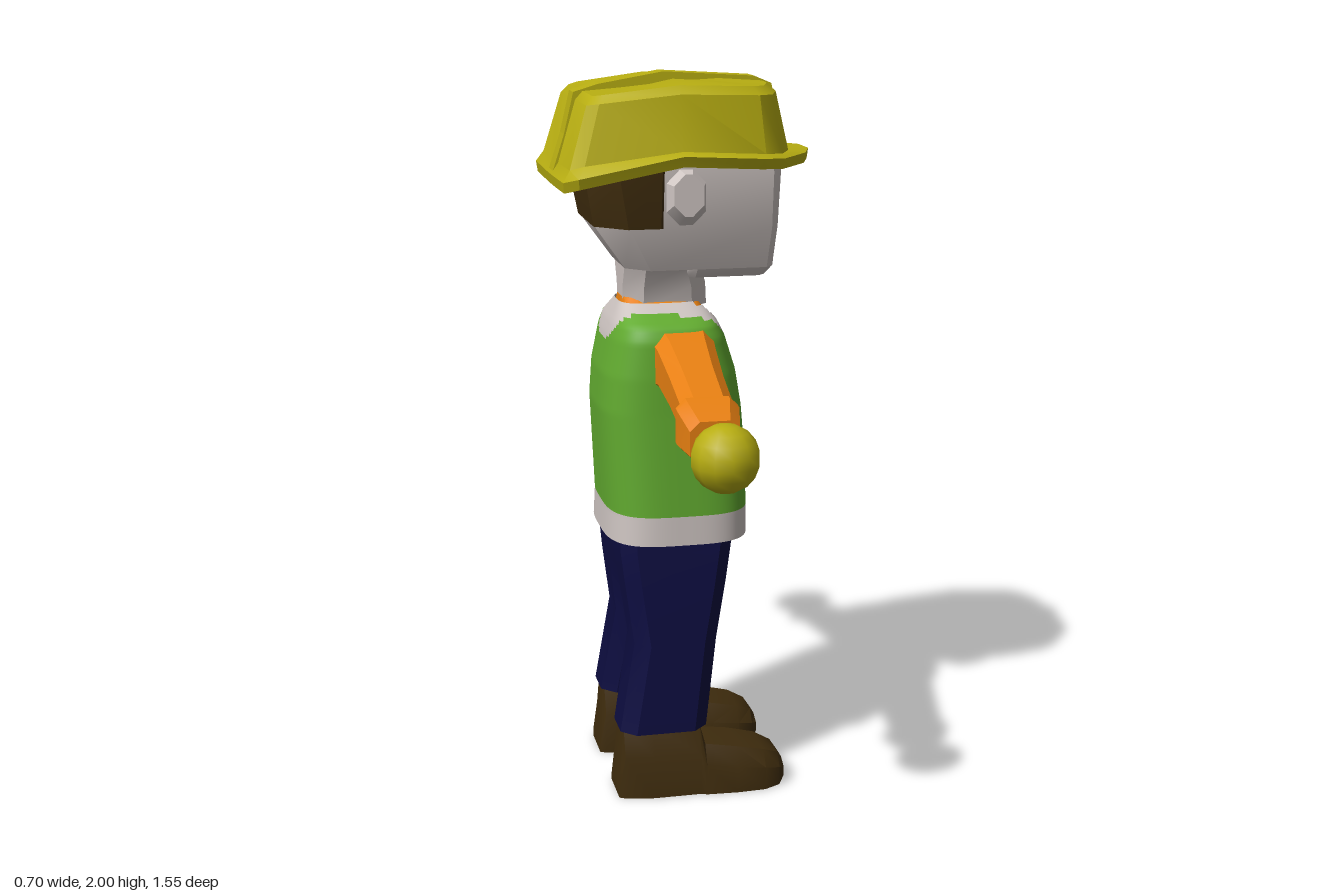
import * as THREE from 'three';
import { toCreasedNormals } from 'three/addons/utils/BufferGeometryUtils.js';

const paint = (name, color, side = THREE.FrontSide) => {
  const m = new THREE.MeshStandardMaterial({ color, side });
  m.name = name;
  return m;
};

// Rectangle with cut corners: c0 at the low-a end, c1 at the high-a end
const rect = (a0, a1, b0, b1, c0, c1 = c0) => [
  [a0 + c0, b0], [a1 - c1, b0], [a1, b0 + c1], [a1, b1 - c1],
  [a1 - c1, b1], [a0 + c0, b1], [a0, b1 - c0], [a0, b0 + c0]];

// Closed skin over a list of equal-length rings, capped at both ends, wound outward
function loft(rings, crease = 0.6) {
  const n = rings[0].length, pts = rings.flat(), tris = [];
  for (let r = 0; r < rings.length - 1; r++) for (let i = 0; i < n; i++) {
    const a = r * n + i, b = r * n + (i + 1) % n;
    tris.push([a, b, a + n], [b, b + n, a + n]);
  }
  [0, rings.length - 1].forEach((r) => {
    const mid = [0, 1, 2].map(k => rings[r].reduce((s, p) => s + p[k], 0) / n);
    const c = pts.push(mid) - 1;
    for (let i = 0; i < n; i++) {
      const a = r * n + i, b = r * n + (i + 1) % n;
      tris.push(r ? [a, b, c] : [b, a, c]);
    }
  });
  const v = pts.map(p => new THREE.Vector3(...p)), x = new THREE.Vector3();
  const volume = tris.reduce((s, [a, b, c]) => s + v[a].dot(x.crossVectors(v[b], v[c])), 0);
  if (volume < 0) tris.forEach(t => t.reverse());
  const g = new THREE.BufferGeometry();
  g.setAttribute('position', new THREE.Float32BufferAttribute(pts.flat(), 3));
  g.setIndex(tris.flat());
  return toCreasedNormals(g, crease);
}

// Horizontal sections [y, x0, x1, z0, z1, backCut, frontCut]
const stack = (rows, s = 1) => loft(rows.map(([y, x0, x1, z0, z1, c0, c1]) =>
  rect(x0, x1, z0, z1, c0, c1).map(([x, z]) => [x, y, z * s])));
// Sideways sections [z, x0, x1, y0, y1, cut]
const reach = (rows, s) => loft(rows.map(([z, x0, x1, y0, y1, c]) =>
  rect(x0, x1, y0, y1, c).map(([x, y]) => [x, y, z * s])));

// Torso profile rows: y, back x, front x, half width
const TORSO = [[0.74, -0.23, 0.172, 0.24], [0.82, -0.226, 0.172, 0.237], [1.0, -0.235, 0.165, 0.228],
  [1.1, -0.24, 0.157, 0.223], [1.2, -0.233, 0.14, 0.22], [1.3, -0.212, 0.108, 0.213],
  [1.335, -0.2, 0.09, 0.198], [1.365, -0.185, 0.07, 0.14], [1.39, -0.172, 0.05, 0.088]];
function torsoPoint(y, angle, inset) {
  let i = 0;
  while (i < TORSO.length - 2 && y > TORSO[i + 1][0]) i++;
  const t = (y - TORSO[i][0]) / (TORSO[i + 1][0] - TORSO[i][0]);
  const [x0, x1, hz] = [1, 2, 3].map(k => TORSO[i][k] + (TORSO[i + 1][k] - TORSO[i][k]) * t);
  const c = Math.cos(angle), s = Math.sin(angle);
  const k = (Math.abs(c) ** 3.4 + Math.abs(s) ** 3.4) ** (-1 / 3.4);
  return [(x0 + x1) / 2 + ((x1 - x0) / 2 - inset) * c * k, y, (hz - inset) * s * k];
}

// Open-fronted vest; group 0 is the cloth, group 1 the pale trim
function vestGeometry() {
  const cols = 120, rows = 64, y0 = 0.74, y1 = 1.386, pos = [], sets = [[], []];
  for (let r = 0; r <= rows; r++) for (let c = 0; c < cols; c++)
    pos.push(...torsoPoint(y0 + (y1 - y0) * r / rows, c / cols * Math.PI * 2, 0));
  for (let r = 0; r < rows; r++) for (let c = 0; c < cols; c++) {
    const y = y0 + (y1 - y0) * (r + 0.5) / rows;
    const [x, , zs] = torsoPoint(y, (c + 0.5) / cols * Math.PI * 2, 0), z = Math.abs(zs);
    const front = x > -0.03;
    const gap = 0.035 + 0.06 * THREE.MathUtils.clamp((y - 1.27) / 0.09, 0, 1);
    if (front && z < gap) continue;
    const neck = front ? z < gap + 0.065 : Math.hypot(z / 0.13, (y - 1.39) / 0.11) < 1;
    const a = r * cols + c, b = r * cols + (c + 1) % cols;
    sets[y < 0.82 || neck || y > 1.37 ? 1 : 0].push(a, a + cols, b, b, a + cols, b + cols);
  }
  const g = new THREE.BufferGeometry();
  g.setAttribute('position', new THREE.Float32BufferAttribute(pos, 3));
  g.setIndex(sets.flat());
  g.addGroup(0, sets[0].length, 0);
  g.addGroup(sets[0].length, sets[1].length, 1);
  g.computeVertexNormals();
  return g;
}

// Full hat ring from half an outline of [x, y, z], back to front
const mirrorRing = half => [...half, ...half.slice().reverse().map(([x, y, z]) => [x, y, -z])];

export function createModel() {
  const yellow = paint('hat yellow', 0xb8ae12), orange = paint('shirt orange', 0xe88012);
  const green = paint('vest green', 0x62ab30, THREE.DoubleSide);
  const pale = paint('pale skin and trim', 0xcdc4c1, THREE.DoubleSide);
  const navy = paint('trouser navy', 0x0d0d40), brown = paint('boot brown', 0x402d0e);
  const black = paint('face black', 0x060606);
  const model = new THREE.Group();
  model.name = 'worker';
  const add = (name, geo, mat, parent = model) => {
    const m = new THREE.Mesh(geo, mat);
    m.name = name;
    parent.add(m);
    return m;
  };

  // Torso
  add('vest', vestGeometry(), [green, pale]);
  const shirtRows = [0.835, 1.0, 1.1, 1.2, 1.3, 1.335, 1.365, 1.398];
  add('shirt', loft(shirtRows.map(y => Array.from({ length: 32 }, (_, i) =>
    torsoPoint(y, i / 16 * Math.PI, y > 1.39 ? 0 : 0.014)))), orange);
  add('hips', stack([[0.7, -0.19, 0.1, -0.18, 0.18, 0.05], [0.76, -0.2, 0.13, -0.205, 0.205, 0.05],
    [0.845, -0.2, 0.152, -0.205, 0.205, 0.05]]), navy);

  // Limbs, once for each side
  for (const s of [1, -1]) {
    const side = s > 0 ? 'near' : 'far';
    add(side + 'Leg', stack([[0.195, -0.21, 0.035, 0.07, 0.248, 0.04], [0.45, -0.167, 0.065, 0.05, 0.238, 0.04],
      [0.62, -0.19, 0.095, 0.03, 0.227, 0.04], [0.71, -0.2, 0.11, 0.0, 0.217, 0.04],
      [0.78, -0.2, 0.118, 0.0, 0.21, 0.04]], s), navy);
    // Boot sections along its length: x, top y, bottom y, inner z, outer z
    add(side + 'Boot', loft([[-0.217, 0.03, 0, 0.095, 0.22], [-0.2, 0.205, 0, 0.085, 0.23],
      [-0.12, 0.205, 0, 0.075, 0.245], [0.015, 0.2, 0, 0.075, 0.245], [0.03, 0.142, 0, 0.066, 0.252],
      [0.12, 0.128, 0, 0.062, 0.257], [0.2, 0.11, 0, 0.066, 0.253], [0.245, 0.09, 0.003, 0.085, 0.235],
      [0.262, 0.065, 0.02, 0.105, 0.215]].map(([x, top, low, z0, z1]) =>
      [[low, z0], [low, z1], [low + (top - low) * 0.6, z1], [top, z1 - 0.03], [top, z0 + 0.03],
        [low + (top - low) * 0.6, z0]].map(([y, z]) => [x, y, z * s]))), brown);
    add(side + 'Sleeve', reach([[0.16, -0.115, 0.06, 1.155, 1.335, 0.03], [0.24, -0.107, 0.05, 1.165, 1.315, 0.03],
      [0.36, -0.1, 0.043, 1.135, 1.268, 0.03], [0.53, -0.098, 0.038, 1.09, 1.21, 0.03]], s), orange);
    add(side + 'Cuff', reach([[0.508, -0.116, 0.046, 1.082, 1.222, 0.025],
      [0.525, -0.116, 0.046, 1.08, 1.218, 0.025], [0.595, -0.098, 0.03, 1.068, 1.18, 0.025]], s), orange);
    add(side + 'Wrist', new THREE.CylinderGeometry(0.052, 0.052, 0.07, 10).rotateX(Math.PI / 2)
      .translate(-0.03, 1.117, s * 0.61), yellow);
    add(side + 'Hand', new THREE.SphereGeometry(0.088, 12, 9).translate(-0.03, 1.11, s * 0.69), yellow);
    add(side + 'Ear', reach([[0.2, -0.07, 0.0, 1.635, 1.75, 0.025], [0.25, -0.085, 0.02, 1.62, 1.765, 0.035],
      [0.275, -0.07, 0.01, 1.645, 1.755, 0.03]], s), pale);
    add(side + 'Eye', new THREE.CylinderGeometry(0.045, 0.045, 0.006, 20).rotateZ(Math.PI / 2)
      .translate(0.235, 1.685, s * 0.08), black);
    add(side + 'MouthCorner', new THREE.CylinderGeometry(0.012, 0.012, 0.006, 8).rotateZ(Math.PI / 2)
      .translate(0.232, 1.546, s * 0.092), black);
  }

  // Head, hair and smile
  add('head', stack([[1.37, -0.165, 0.07, -0.085, 0.085, 0.05], [1.43, -0.165, 0.065, -0.095, 0.095, 0.05],
    [1.485, -0.165, 0.045, -0.125, 0.125, 0.05], [1.46, -0.165, 0.2, -0.13, 0.13, 0.05, 0.02],
    [1.485, -0.168, 0.23, -0.155, 0.155, 0.06, 0.02], [1.6, -0.25, 0.232, -0.2, 0.2, 0.08, 0.02],
    [1.75, -0.278, 0.235, -0.222, 0.222, 0.08, 0.025], [1.86, -0.26, 0.22, -0.21, 0.21, 0.08, 0.03]]
    .filter((_, i) => i !== 3)), pale);
  add('chin', stack([[1.458, 0.0, 0.215, -0.125, 0.125, 0.02], [1.488, 0.0, 0.231, -0.156, 0.156, 0.02],
    [1.53, 0.0, 0.231, -0.168, 0.168, 0.02]]), pale);
  add('hair', stack([[1.605, -0.257, -0.08, -0.207, 0.207, 0.08, 0.01],
    [1.75, -0.284, -0.08, -0.228, 0.228, 0.08, 0.01], [1.8, -0.28, -0.08, -0.226, 0.226, 0.08, 0.01]]), brown);
  const smile = new THREE.CatmullRomCurve3([[-0.085, 1.54], [-0.045, 1.524], [0, 1.521], [0.045, 1.524], [0.085, 1.54]]
    .map(([z, y]) => new THREE.Vector3(0.232, y, z)));
  add('smile', new THREE.TubeGeometry(smile, 16, 0.0035, 5), black);

  // Hard hat: brim edge, crown base, shoulder and domed top
  const brim = [[-0.355, 1.735, 0.05], [-0.355, 1.738, 0.25], [-0.32, 1.75, 0.287], [-0.05, 1.805, 0.315],
    [0.17, 1.79, 0.275], [0.235, 1.785, 0.235], [0.32, 1.787, 0.13], [0.35, 1.79, 0.05]];
  const base = [[-0.335, 1.765, 0.05], [-0.335, 1.768, 0.235], [-0.3, 1.78, 0.262], [-0.05, 1.815, 0.292],
    [0.18, 1.8, 0.252], [0.235, 1.795, 0.21], [0.272, 1.795, 0.13], [0.28, 1.795, 0.05]];
  const upper = [[-0.287, 1.93, 0.05], [-0.287, 1.93, 0.215], [-0.258, 1.935, 0.242], [-0.05, 1.958, 0.268],
    [0.165, 1.95, 0.238], [0.21, 1.948, 0.195], [0.238, 1.95, 0.12], [0.243, 1.95, 0.05]];
  const shrink = (half, k, dy) => half.map(([x, y, z]) => [-0.04 + (x + 0.04) * k, y + dy, z * k]);
  const under = brim.map(([x, y, z]) => [x * 0.99, y - 0.028, z * 0.965]);
  add('hardHat', loft([shrink(under, 0.75, 0.03), under, brim, base, upper, shrink(upper, 0.92, 0.022),
    shrink(upper, 0.5, 0.03)].map(mirrorRing), 0.5), yellow);

  // Raised ridge over the hat
  const ridge = new THREE.Shape([[-0.352, 1.735], [-0.318, 1.84], [-0.292, 1.95], [-0.225, 1.97], [-0.05, 2.0],
    [0.2, 1.985], [0.248, 1.965], [0.29, 1.795], [0.2, 1.8], [-0.2, 1.79]].map(p => new THREE.Vector2(...p)));
  add('hatRidge', new THREE.ExtrudeGeometry(ridge, { depth: 0.07, bevelEnabled: false })
    .translate(0, 0, -0.035), yellow);
  return model;
}
